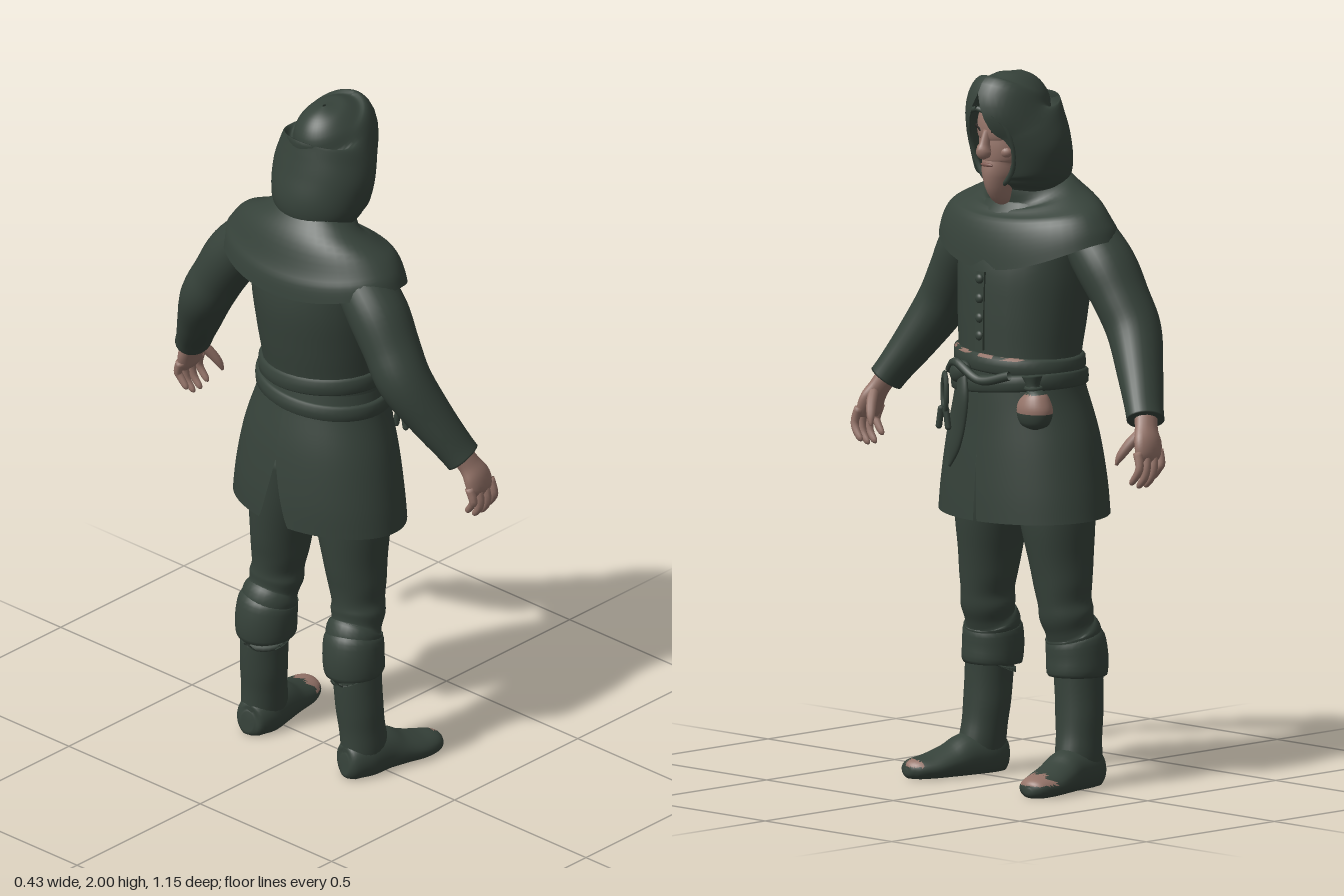
import * as THREE from 'three';

const V = (x, y, z) => new THREE.Vector3(x, y, z);
const mat = (name, color, side = THREE.FrontSide) => {
  const m = new THREE.MeshStandardMaterial({ color, side });
  m.name = name;
  return m;
};
const spline = (a, b, c, d, t) =>
  0.5 * (2 * b + (c - a) * t + (2 * a - 5 * b + 4 * c - d) * t * t + (3 * b - a - 3 * c + d) * t ** 3);

// Smooth loft through elliptical rings [x, y, z, sideRadius, forwardRadius]
function loft(rings, o = {}) {
  const { seg = 28, sub = 5, ref = V(0, 0, 1), arc, cap = !arc, bend, paint, mirror } = o;
  const rows = [], n = rings.length - 1;
  for (let k = 0; k <= n * sub; k++) {
    const i = Math.min(Math.floor(k / sub), n - 1), t = k / sub - i;
    const at = (j) => rings[Math.max(0, Math.min(n, j))];
    rows.push(rings[i].map((_, c) => spline(at(i - 1)[c], at(i)[c], at(i + 1)[c], at(i + 2)[c], t)));
  }
  const pos = [], tris = [], W = arc ? seg + 1 : seg, last = rows.length - 1;
  const put = (p, v) => {
    if (bend) bend(p, v);
    pos.push(mirror ? -p.x : p.x, p.y, p.z);
  };
  const tri = (a, b, c) => tris.push(mirror ? [a, c, b] : [a, b, c]);
  rows.forEach(([x, y, z, a, b], i) => {
    const p0 = rows[Math.max(0, i - 1)], p1 = rows[Math.min(last, i + 1)];
    const t = V(p1[0] - p0[0], p1[1] - p0[1], p1[2] - p0[2]).normalize();
    const s = ref.clone().cross(t).normalize(), f = t.clone().cross(s);
    const [from, to] = arc ? arc(y, i / last) : [0, Math.PI * 2];
    for (let j = 0; j < W; j++) {
      const q = from + (to - from) * j / seg;
      put(V(x, y, z).addScaledVector(s, a * Math.cos(q)).addScaledVector(f, b * Math.sin(q)), i / last);
    }
  });
  for (let i = 0; i < last; i++) for (let j = 0; j < seg; j++) {
    const a = i * W + j, b = i * W + (j + 1) % W;
    tri(a, b, b + W);
    tri(a, b + W, a + W);
  }
  if (cap) {
    const c0 = pos.length / 3, e = last * W;
    put(V(...rows[0]), 0);
    put(V(...rows[last]), 1);
    for (let j = 0; j < seg; j++) {
      tri(c0, (j + 1) % W, j);
      tri(c0 + 1, e + j, e + (j + 1) % W);
    }
  }
  const g = new THREE.BufferGeometry();
  g.setAttribute('position', new THREE.Float32BufferAttribute(pos, 3));
  // Painted faces go to a second material group
  const mid = (t) => V(...[0, 1, 2].map((c) => (pos[t[0] * 3 + c] + pos[t[1] * 3 + c] + pos[t[2] * 3 + c]) / 3));
  const painted = paint ? tris.filter((t) => paint(mid(t))) : [];
  const plain = paint ? tris.filter((t) => !paint(mid(t))) : tris;
  g.setIndex([...plain, ...painted].flat());
  if (paint) {
    g.addGroup(0, plain.length * 3, 0);
    g.addGroup(plain.length * 3, painted.length * 3, 1);
  }
  g.computeVertexNormals();
  return g;
}

export function createModel() {
  const cloth = mat('dark green cloth', 0x36423a, THREE.DoubleSide);
  const skin = mat('skin', 0x957469);
  const lip = mat('lips', 0x7c5850);
  const dark = mat('brows and eyes', 0x25221f);
  const root = new THREE.Group(), body = new THREE.Group();
  root.name = 'hoodedFigure';
  body.name = 'body';
  body.rotation.y = Math.PI / 2; // the figure looks along +x
  root.add(body);
  const add = (name, geo, m = cloth, p = [0, 0, 0], r = [0, 0, 0], s = [1, 1, 1]) => {
    const mesh = new THREE.Mesh(geo, m);
    mesh.name = name;
    mesh.position.set(...p);
    mesh.rotation.set(...r);
    mesh.scale.set(...s);
    body.add(mesh);
    return mesh;
  };
  const pair = (name, rings, m = cloth, o = {}) => {
    add(name + 'Left', loft(rings, o), m);
    add(name + 'Right', loft(rings, { ...o, mirror: true }), m);
  };
  // ring given by height, half width, back and front
  const ring = (y, w, back, front) => [0, y, (back + front) / 2, w, (front - back) / 2];
  const tube = (pts, r) => new THREE.TubeGeometry(new THREE.CatmullRomCurve3(pts.map((p) => V(...p))), 24, r, 8);
  const ball = new THREE.SphereGeometry(1, 18, 14);

  // Tunic body and shoulder cape
  add('tunic', loft([ring(1.1, 0.19, -0.15, 0.16), ring(1.2, 0.185, -0.15, 0.16), ring(1.32, 0.195, -0.17, 0.16),
    ring(1.45, 0.205, -0.185, 0.152), ring(1.56, 0.2, -0.17, 0.12), ring(1.64, 0.12, -0.13, 0.07)]));
  add('shoulderCape', loft([ring(1.545, 0.308, -0.218, 0.15), ring(1.585, 0.292, -0.208, 0.14), ring(1.63, 0.25, -0.18, 0.11),
    ring(1.665, 0.17, -0.145, 0.09), ring(1.69, 0.11, -0.115, 0.085), ring(1.71, 0.09, -0.1, 0.08)], {
    cap: false, seg: 48,
    bend: (p, v) => {
      const f = (p.z + 0.034) / 0.185;
      p.y -= (1 - v) ** 2 * (f > 0 ? 0.09 : 0.05) * f * f;
    },
  }));
  [1.43, 1.375, 1.32, 1.27].forEach((y, i) => add('button' + (i + 1), ball, cloth, [0, y, 0.163], [0, 0, 0], [0.014, 0.014, 0.01]));
  add('placket', new THREE.BoxGeometry(0.03, 0.22, 0.008), cloth, [0, 1.34, 0.159], [-0.03, 0, 0]);

  // Skirt in two panels, slit at the front and the back
  const skirt = [ring(0.76, 0.277, -0.208, 0.182), ring(0.85, 0.266, -0.205, 0.18), ring(0.98, 0.24, -0.19, 0.174),
    ring(1.1, 0.202, -0.165, 0.168), ring(1.17, 0.188, -0.152, 0.163)];
  pair('skirtPanel', skirt, cloth, {
    arc: (y, v) => {
      const g = Math.max(0, 1 - v / 0.45);
      return [-Math.PI / 2 + 0.2 * g, Math.PI / 2 - 0.025 * g];
    },
    bend: (p, v) => { p.y -= (1 - v) * 0.05 * p.z; },
  });

  // Belts
  const belt = (name, y, h, grow, tilt, paint) => add(name, loft(
    [[-h, -0.012], [-h * 0.7, 0], [h * 0.7, 0], [h, -0.012]].map(([d, g]) =>
      ring(y + d, 0.197 + grow + g, -0.162 - grow - g, 0.172 + grow + g)), {
      sub: 2, seg: 48, paint, bend: (p) => { p.y += tilt * p.x; },
    }), paint ? [cloth, skin] : cloth);
  belt('upperBelt', 1.195, 0.026, 0, -0.06, (p) => p.y + 0.06 * p.x > 1.213 && p.z > 0.11 && Math.sin(p.x * 75) > -0.1);
  belt('lowerBelt', 1.135, 0.024, 0.008, 0.08);
  add('beltKnot', ball, cloth, [-0.06, 1.165, 0.178], [0, 0, 0.5], [0.04, 0.03, 0.022]);
  add('beltTail', loft([[-0.05, 1.17, 0.182, 0.016, 0.008], [-0.04, 1.1, 0.19, 0.022, 0.01], [-0.055, 1.02, 0.188, 0.024, 0.01],
    [-0.075, 0.95, 0.187, 0.02, 0.009], [-0.095, 0.895, 0.186, 0.004, 0.004]]));
  add('beltTwist', tube([[-0.13, 1.16, 0.15], [-0.07, 1.19, 0.185], [0.03, 1.15, 0.19], [0.12, 1.17, 0.165]], 0.013));

  // Hanging cord loop with small tools
  add('cordLoop', new THREE.TorusGeometry(0.028, 0.007, 8, 24), cloth, [-0.155, 1.09, 0.145], [0, -0.6, 0], [1, 1.8, 1]);
  for (const d of [-0.014, 0.014]) add('cordEnd', new THREE.CapsuleGeometry(0.009, 0.05, 4, 8), cloth, [-0.155 + d, 1.02, 0.15], [0, 0, d * 12]);

  // Purse with a gathered neck
  add('purse', loft([[0.19, 1.025, 0.135, 0.012, 0.01], [0.19, 1.04, 0.135, 0.045, 0.035], [0.19, 1.08, 0.135, 0.056, 0.045],
    [0.19, 1.115, 0.135, 0.042, 0.036], [0.185, 1.14, 0.135, 0.018, 0.018], [0.18, 1.175, 0.135, 0.034, 0.025]], {
    paint: (p) => p.y > 1.07 && p.y < 1.125 && p.x > 0.15,
  }), [cloth, skin]);
  add('purseString', new THREE.TorusGeometry(0.021, 0.006, 6, 16), cloth, [0.185, 1.14, 0.135], [Math.PI / 2, 0, 0]);

  // Sleeves
  pair('sleeve', [[0.2, 1.55, -0.06, 0.075, 0.085], [0.27, 1.47, -0.065, 0.082, 0.09], [0.325, 1.385, -0.07, 0.076, 0.084],
    [0.375, 1.3, -0.07, 0.073, 0.08], [0.44, 1.19, -0.03, 0.06, 0.067], [0.49, 1.11, 0.005, 0.049, 0.058],
    [0.512, 1.075, 0.02, 0.047, 0.056]]);

  // Hands
  pair('palm', [[0.502, 1.1, 0.01, 0.03, 0.036], [0.525, 1.055, 0.03, 0.026, 0.036], [0.543, 1.02, 0.042, 0.025, 0.046],
    [0.552, 0.985, 0.048, 0.02, 0.046], [0.553, 0.965, 0.05, 0.01, 0.035]], skin, { seg: 16 });
  [0.006, 0.034, 0.062, 0.09].forEach((z, i) => {
    const d = [0.02, 0, 0, 0.012][i];
    pair('finger' + (i + 1), [[0.55, 0.995, z, 0.013, 0.013], [0.562, 0.96, z + 0.003, 0.012, 0.012],
      [0.557, 0.925 + d, z + 0.006, 0.011, 0.011], [0.538, 0.9 + d, z + 0.008, 0.009, 0.009], [0.53, 0.894 + d, z + 0.008, 0.003, 0.003]],
    skin, { seg: 10, sub: 3 });
  });
  pair('thumb', [[0.525, 1.045, 0.055, 0.014, 0.014], [0.51, 1.015, 0.08, 0.015, 0.015], [0.493, 0.98, 0.1, 0.012, 0.012],
    [0.484, 0.955, 0.108, 0.004, 0.004]], skin, { seg: 10, sub: 3 });

  // Trousers, boots and turned cuffs
  pair('trouserLeg', [[0.11, 0.9, -0.015, 0.105, 0.115], [0.128, 0.76, -0.015, 0.1, 0.112], [0.14, 0.64, -0.018, 0.084, 0.097],
    [0.147, 0.57, -0.018, 0.078, 0.086], [0.152, 0.52, -0.02, 0.07, 0.08], [0.155, 0.485, -0.024, 0.076, 0.078],
    [0.158, 0.45, -0.034, 0.071, 0.072], [0.16, 0.425, -0.045, 0.08, 0.08], [0.165, 0.37, -0.05, 0.07, 0.075]]);
  pair('bootCuff', [[0.168, 0.31, -0.052, 0.068, 0.072], [0.168, 0.314, -0.052, 0.083, 0.086], [0.166, 0.36, -0.055, 0.086, 0.088],
    [0.163, 0.412, -0.05, 0.083, 0.084], [0.162, 0.422, -0.048, 0.07, 0.072]], cloth, { sub: 3 });
  pair('bootShaft', [[0.172, 0.36, -0.05, 0.068, 0.072], [0.178, 0.27, -0.05, 0.066, 0.07], [0.182, 0.2, -0.047, 0.066, 0.068],
    [0.186, 0.14, -0.042, 0.062, 0.067], [0.19, 0.08, -0.036, 0.06, 0.072], [0.19, 0.03, -0.035, 0.055, 0.072]]);
  const foot = [[0.184, 0.05, -0.112, 0.02, 0.03], [0.186, 0.05, -0.1, 0.045, 0.055], [0.19, 0.055, -0.05, 0.062, 0.07],
    [0.2, 0.055, 0.02, 0.062, 0.066], [0.212, 0.045, 0.075, 0.064, 0.048], [0.226, 0.035, 0.135, 0.064, 0.037],
    [0.238, 0.032, 0.185, 0.048, 0.031], [0.242, 0.03, 0.206, 0.026, 0.02], [0.243, 0.03, 0.212, 0.006, 0.006]];
  const flatSole = (p) => { p.y = Math.max(0, p.y - 0.008); };
  add('bootFootLeft', loft(foot, {
    ref: V(0, 1, 0), bend: flatSole,
    paint: (p) => p.y > 0.035 && p.z > 0.15 + 0.012 * Math.sin(p.x * 150),
  }), [cloth, skin]);
  add('bootFootRight', loft(foot, {
    ref: V(0, 1, 0), bend: flatSole, mirror: true,
    paint: (p) => p.y > 0.035 && p.z > 0.188 && p.x > -0.245,
  }), [cloth, skin]);

  // Hood with an arched face opening
  add('hood', loft([ring(1.665, 0.105, -0.1, 0.08), ring(1.69, 0.125, -0.125, 0.1), ring(1.73, 0.143, -0.142, 0.118),
    ring(1.8, 0.152, -0.128, 0.135), ring(1.86, 0.138, -0.116, 0.158), ring(1.91, 0.113, -0.108, 0.178),
    ring(1.95, 0.087, -0.09, 0.125), ring(1.985, 0.05, -0.057, 0.07), ring(2, 0.004, -0.003, 0.01)], {
    seg: 40, sub: 6,
    arc: (y) => {
      const w = 0.084 * Math.sqrt(Math.max(0, 1 - ((y - 1.8) / 0.113) ** 2));
      const g = Math.asin(w / 0.148);
      return [Math.PI / 2 + g, Math.PI * 2.5 - g];
    },
  }));
  const half = [[0.045, 1.895, 0.158], [0.074, 1.855, 0.132], [0.083, 1.8, 0.112], [0.07, 1.74, 0.1], [0.035, 1.695, 0.098]];
  add('hoodRim', tube([[0, 1.91, 0.172], ...half, [0, 1.683, 0.096],
    ...half.slice().reverse().map(([x, y, z]) => [-x, y, z]), [0, 1.91, 0.172]], 0.008));

  // Head and face
  add('head', loft([ring(1.66, 0.05, -0.04, 0.06), ring(1.69, 0.042, -0.04, 0.122), ring(1.715, 0.056, -0.05, 0.14),
    ring(1.75, 0.07, -0.06, 0.134), ring(1.79, 0.082, -0.06, 0.136), ring(1.825, 0.084, -0.06, 0.134),
    ring(1.85, 0.085, -0.06, 0.142), ring(1.88, 0.078, -0.05, 0.135), ring(1.91, 0.05, -0.03, 0.09)]), skin);
  add('nose', loft([[0, 1.775, 0.135, 0.016, 0.012], [0, 1.785, 0.145, 0.021, 0.024], [0, 1.805, 0.14, 0.014, 0.02],
    [0, 1.845, 0.132, 0.01, 0.012]], { seg: 14 }), skin);
  add('mouth', ball, lip, [0, 1.747, 0.134], [0, 0, 0], [0.024, 0.006, 0.006]);
  for (const s of [-1, 1]) {
    add('cheek', ball, skin, [s * 0.042, 1.785, 0.103], [0, 0, 0], [0.023, 0.018, 0.018]);
    add('eye', ball, dark, [s * 0.034, 1.825, 0.122], [0, s * 0.4, 0], [0.016, 0.007, 0.005]);
    add('brow', new THREE.CapsuleGeometry(0.006, 0.032, 4, 8), dark, [s * 0.037, 1.848, 0.127], [0, s * 0.4, Math.PI / 2 + s * 0.25]);
  }
  return root;
}
